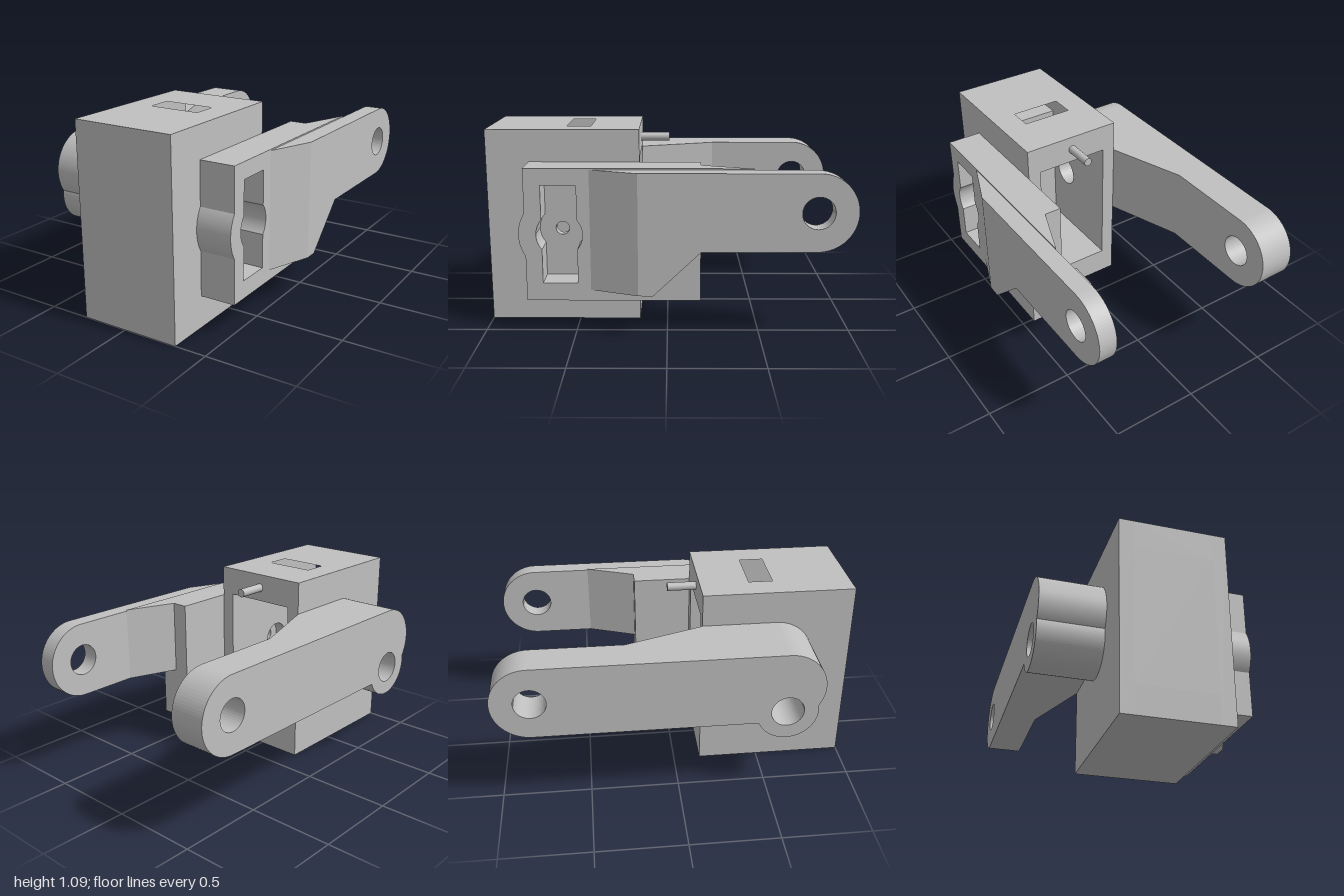
import * as THREE from 'three';

const grey = new THREE.MeshStandardMaterial({ color: 0xc0c0c0 });
grey.name = 'light grey';

const AXLE = [0.58, 0.55];   // z, y of the pivot through the housing
const TIP = [-0.79, 0.695];  // z, y of the holes at the arm tips

// Side profiles are drawn with u = -z, v = y
function polygon(points) {
  return new THREE.Shape(points.map(([z, y]) => new THREE.Vector2(-z, y)));
}
function addHole(shape, [z, y], r) {
  shape.holes.push(new THREE.Path().absarc(-z, y, r, 0, Math.PI * 2, true));
  return shape;
}

// Extrude a side profile across x; x0 and x1 are numbers or functions of z
function slab(name, shape, x0, x1) {
  const geo = new THREE.ExtrudeGeometry(shape, { depth: 1, bevelEnabled: false, curveSegments: 20 });
  geo.rotateY(Math.PI / 2);
  const p = geo.attributes.position;
  const at = (f, z) => (typeof f === 'function' ? f(z) : f);
  for (let i = 0; i < p.count; i++) {
    const z = p.getZ(i);
    p.setX(i, p.getX(i) > 0.5 ? at(x1, z) : at(x0, z));
  }
  geo.computeVertexNormals();
  const mesh = new THREE.Mesh(geo, grey);
  mesh.name = name;
  return mesh;
}

function box(name, x0, x1, y0, y1, z0, z1) {
  const mesh = new THREE.Mesh(new THREE.BoxGeometry(x1 - x0, y1 - y0, z1 - z0), grey);
  mesh.position.set((x0 + x1) / 2, (y0 + y1) / 2, (z0 + z1) / 2);
  mesh.name = name;
  return mesh;
}

const ramp = (zA, xA, zB, xB) => z => xA + (xB - xA) * (z - zA) / (zB - zA);

// Straight arm end with a rounded, drilled tip
function armTip(name, zStart, x0, x1) {
  const s = new THREE.Shape();
  s.moveTo(-zStart, 0.485);
  s.lineTo(-TIP[0], 0.485);
  s.absarc(-TIP[0], TIP[1], 0.21, -Math.PI / 2, Math.PI / 2, false);
  s.lineTo(-zStart, 0.905);
  return slab(name, addHole(s, TIP, 0.087), x0, x1);
}

function makeHousing() {
  const g = new THREE.Group();
  g.name = 'housing';
  const xa = -0.265, xb = 0.32, ia = -0.188, ib = 0.243, zb = 0.155, top = 1.09;
  // Drilled side walls
  const wall = () => addHole(polygon([[1, 0], [zb, 0], [zb, top], [1, top]]), AXLE, 0.09);
  g.add(slab('rightWall', wall(), xa, ia), slab('leftWall', wall(), ib, xb));
  g.add(box('floor', ia, ib, 0, 0.16, zb, 1));
  g.add(box('frontWall', ia, ib, 0.16, 0.93, 0.72, 1));
  // Roof with a rectangular slot
  const rect = (Type, x0, x1, z0, z1) => new Type([[x0, z0], [x1, z0], [x1, z1], [x0, z1]]
    .map(([x, z]) => new THREE.Vector2(x, -z)));
  const roofShape = rect(THREE.Shape, ia, ib, zb, 1);
  roofShape.holes.push(rect(THREE.Path, -0.12, 0.17, 0.43, 0.565));
  const geo = new THREE.ExtrudeGeometry(roofShape, { depth: 0.16, bevelEnabled: false });
  geo.rotateX(-Math.PI / 2);
  const roof = new THREE.Mesh(geo, grey);
  roof.position.y = 0.93;
  roof.name = 'roof';
  g.add(roof);
  // Locating pins on the open back
  for (const y of [0.085, 1.01]) {
    const pin = new THREE.Mesh(new THREE.CylinderGeometry(0.024, 0.024, 0.175, 20), grey);
    pin.rotation.x = Math.PI / 2;
    pin.position.set(0.027, y, 0.0775);
    pin.name = 'pin';
    g.add(pin);
  }
  return g;
}

function makeRightArm() {
  const g = new THREE.Group();
  g.name = 'rightArm';
  // Rounded root merged with the axle hub
  const s = new THREE.Shape();
  s.moveTo(-0.155, 0.905);
  s.lineTo(-0.57, 0.905);
  s.absarc(-0.57, 0.695, 0.21, Math.PI / 2, Math.PI + 0.568, false);
  s.absarc(-AXLE[0], AXLE[1], 0.17, Math.PI - 0.189, Math.PI * 2 - 0.392, false);
  s.lineTo(-0.155, 0.485);
  g.add(slab('rightArmRoot', addHole(s, AXLE, 0.09), -0.62, -0.265));
  // Inner face tapers towards the thinner tip
  const mid = polygon([[0.155, 0.485], [-0.28, 0.485], [-0.28, 0.905], [0.155, 0.905]]);
  g.add(slab('rightArmTaper', mid, -0.62, ramp(0.155, -0.265, -0.28, -0.42)));
  g.add(armTip('rightArmTip', -0.28, -0.62, -0.42));
  return g;
}

function makeLeftArm() {
  const g = new THREE.Group();
  g.name = 'leftArm';
  // Mounting block with a rounded bulge in front
  const [cz, cy] = AXLE;
  const block = () => {
    const t = Math.acos((0.765 - cz) / 0.22);
    const s = new THREE.Shape();
    s.moveTo(0.18, 0.18);
    s.lineTo(0.18, 0.912);
    s.lineTo(-0.765, 0.912);
    s.absarc(-cz, cy, 0.22, Math.PI - t, Math.PI + t, false);
    s.lineTo(-0.765, 0.18);
    return s;
  };
  g.add(slab('blockBase', addHole(block(), AXLE, 0.037), 0.32, 0.37));
  // Upright recess widened by a circle at the axle
  const w = 0.095, r = 0.125, t = Math.acos(w / r);
  const slot = new THREE.Path();
  slot.moveTo(-cz - w, 0.28);
  slot.lineTo(-cz + w, 0.28);
  slot.absarc(-cz, cy, r, -t, t, false);
  slot.lineTo(-cz + w, 0.82);
  slot.lineTo(-cz - w, 0.82);
  slot.absarc(-cz, cy, r, Math.PI - t, Math.PI + t, false);
  slot.closePath();
  const face = block();
  face.holes.push(slot);
  g.add(slab('blockFace', face, 0.37, 0.52));
  // Wedge bracing the arm behind the block
  const wedge = polygon([[-0.18, 0.485], [-0.46, 0.485], [-0.46, 0.912], [-0.18, 0.912]]);
  g.add(slab('brace', wedge, ramp(-0.18, 0.415, -0.46, 0.52), 0.52));
  // Arm plate: sloped start, angled underside, straight tip
  const start = polygon([[0.415, 0.24], [0.155, 0.24], [0.155, 0.905], [0.415, 0.905]]);
  g.add(slab('leftArmRamp', start, 0.52, ramp(0.415, 0.52, 0.155, 0.62)));
  const mid = polygon([[0.155, 0.24], [0.075, 0.24], [-0.18, 0.485], [-0.18, 0.905], [0.155, 0.905]]);
  g.add(slab('leftArmPlate', mid, 0.52, 0.62));
  g.add(armTip('leftArmTip', -0.18, 0.52, 0.62));
  return g;
}

export function createModel() {
  const model = new THREE.Group();
  model.name = 'bracket';
  model.add(makeHousing(), makeRightArm(), makeLeftArm());
  return model;
}
